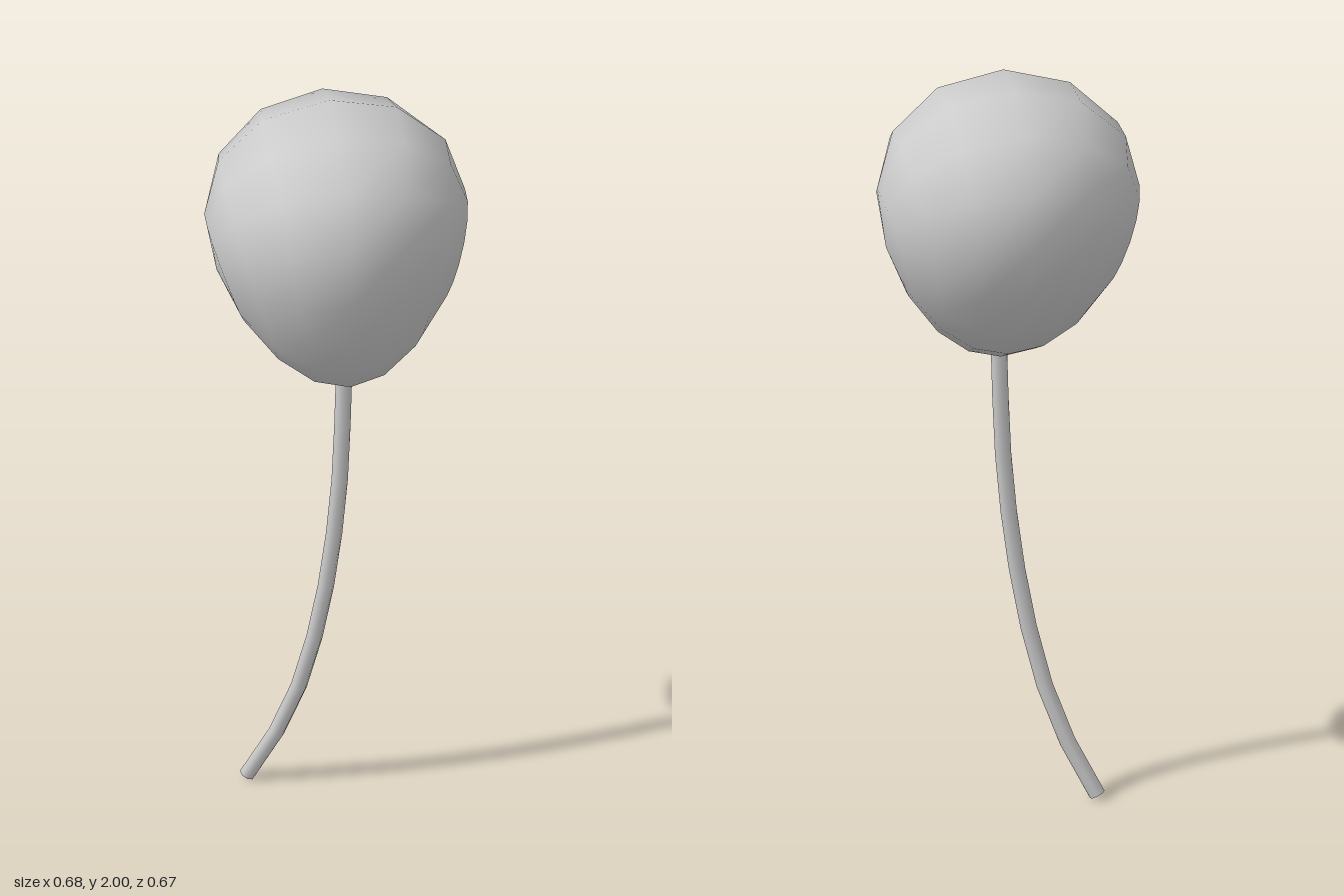
import * as THREE from 'three';
import { mergeVertices } from 'three/addons/utils/BufferGeometryUtils.js';

const material = new THREE.MeshStandardMaterial({ color: 0xcccccc });

// Balloon: a sphere with its poles on x, tapered to the bottom and slightly bent and tilted
function makeBalloon() {
  let geo = new THREE.SphereGeometry(1, 16, 8, Math.PI / 16);
  geo.rotateZ(Math.PI / 2);
  const p = geo.attributes.position;
  for (let i = 0; i < p.count; i++) {
    const s = p.getY(i);
    const r = 0.314 + 0.125 * s + 0.03 * s * s;
    const x = p.getX(i) * r;
    const z = p.getZ(i) * r;
    const y = 1.557 + 0.386 * s + 0.058 * s * s;
    p.setXYZ(i,
      x + 0.03 * z + 0.003 - 0.015 * s,
      y + 0.035 * x - 0.075 * z,
      z - 0.03 * x + 0.045 * s * s - 0.004 * s);
  }
  geo.deleteAttribute('uv');
  geo.deleteAttribute('normal');
  geo = mergeVertices(geo, 1e-5);
  geo.computeVertexNormals();
  const mesh = new THREE.Mesh(geo, material);
  mesh.name = 'balloon';
  return mesh;
}

// String: a thin curved tube with flat end caps
function makeString() {
  const radius = 0.021;
  const group = new THREE.Group();
  group.name = 'string';
  const curve = new THREE.CatmullRomCurve3([
    [-0.228, 0.013, -0.033], [-0.135, 0.2, 0.006], [-0.08, 0.38, 0.036],
    [-0.032, 0.63, 0.06], [0, 0.93, 0.07], [0.012, 1.26, 0.07],
  ].map((v) => new THREE.Vector3(...v)));
  const tube = new THREE.Mesh(new THREE.TubeGeometry(curve, 8, radius, 8), material);
  tube.name = 'stringTube';
  group.add(tube);
  for (const t of [0, 1]) {
    const cap = new THREE.Mesh(new THREE.CircleGeometry(radius, 8), material);
    const outward = curve.getTangentAt(t).multiplyScalar(t ? 1 : -1);
    cap.position.copy(curve.getPointAt(t));
    cap.quaternion.setFromUnitVectors(new THREE.Vector3(0, 0, 1), outward);
    cap.name = 'stringCap';
    group.add(cap);
  }
  return group;
}

export function createModel() {
  const model = new THREE.Group();
  model.name = 'balloonOnString';
  model.add(makeBalloon(), makeString());
  return model;
}
